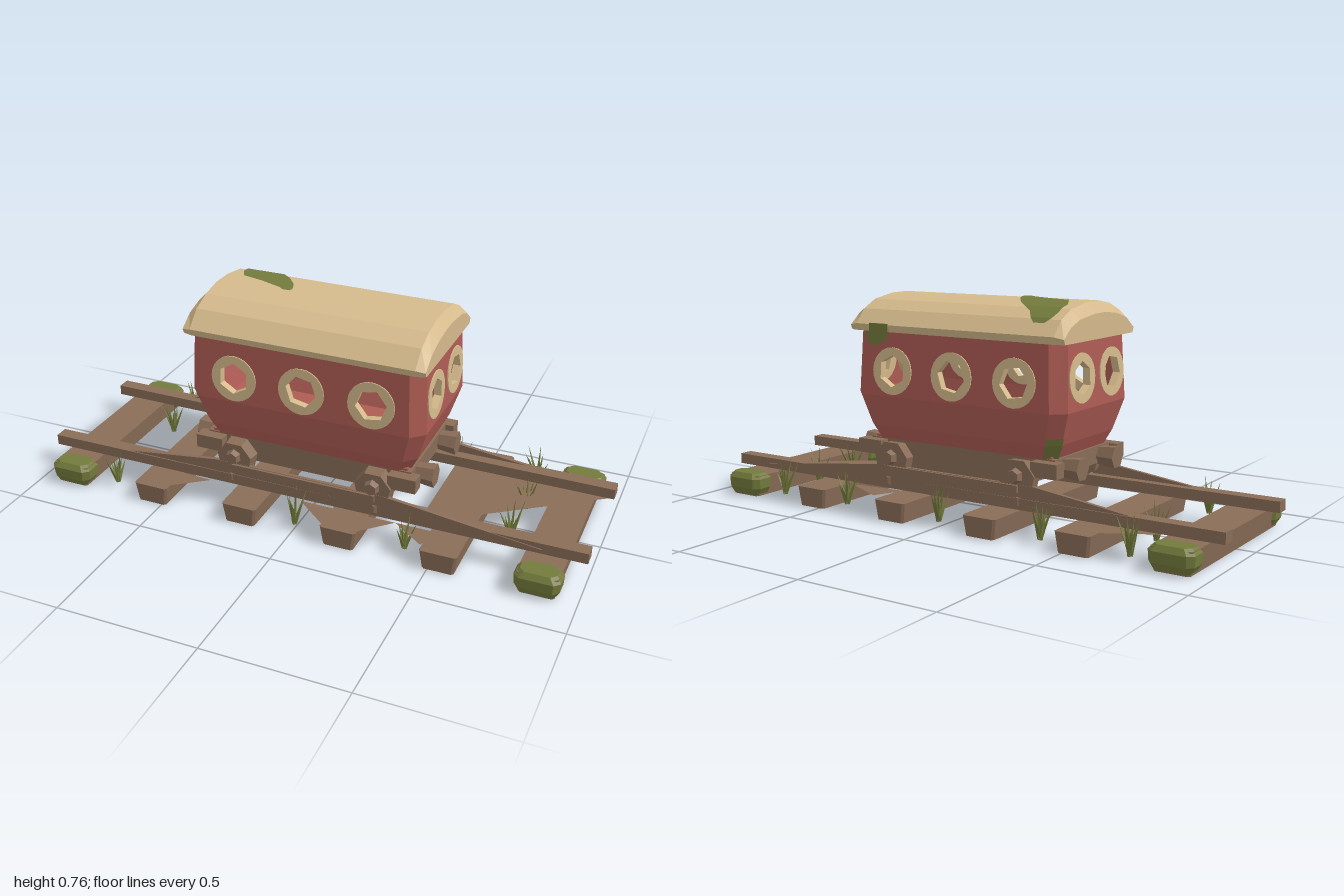
import * as THREE from 'three';

const mat = (name, color, side = THREE.DoubleSide) =>
  Object.assign(new THREE.MeshStandardMaterial({ color, flatShading: true, side }), { name });

// Skin between matching rings of points, with optional end caps and face filter
function loft(rings, caps = true, keep = () => true) {
  const out = [], n = rings[0].length;
  const tri = (...pts) => pts.forEach(p => out.push(...p));
  for (let r = 0; r < rings.length - 1; r++) {
    const a = rings[r], b = rings[r + 1];
    for (let i = 0; i < n; i++) {
      if (!keep(i)) continue;
      const j = (i + 1) % n;
      tri(a[i], a[j], b[j]);
      tri(a[i], b[j], b[i]);
    }
  }
  if (caps) {
    const a = rings[0], b = rings[rings.length - 1];
    for (let i = 1; i < n - 1; i++) {
      tri(a[0], a[i + 1], a[i]);
      tri(b[0], b[i], b[i + 1]);
    }
  }
  return fromPoints(out);
}

function fromPoints(flat) {
  const g = new THREE.BufferGeometry();
  g.setAttribute('position', new THREE.Float32BufferAttribute(flat, 3));
  g.computeVertexNormals();
  return g;
}

// Rectangle with cut corners at height y
function octagon(y, hx, hz, c) {
  const a = hx - c, b = hz - c;
  return [[-a, hz], [a, hz], [hx, b], [hx, -b], [a, -hz], [-a, -hz], [-hx, -b], [-hx, b]]
    .map(([x, z]) => [x, y, z]);
}

function polygon(cx, cy, r, n, turn = 0) {
  return Array.from({ length: n }, (_, i) => {
    const t = turn + i / n * Math.PI * 2;
    return new THREE.Vector2(cx + r * Math.cos(t), cy + r * Math.sin(t));
  });
}

const shapeOf = pts => new THREE.Shape(pts.map(p => new THREE.Vector2(...p)));

export function createModel() {
  const red = mat('carriage red', 0xae5c54), tan = mat('cream trim', 0xd5ba8c);
  const wood = mat('weathered brown', 0x8a6d58), moss = mat('moss green', 0x737b3c);
  const model = new THREE.Group();
  const add = (name, geometry, material, x = 0, y = 0, z = 0) => {
    const m = new THREE.Mesh(geometry, material);
    m.name = name;
    m.position.set(x, y, z);
    model.add(m);
    return m;
  };
  const box = (name, w, h, d, x, y, z, material = wood) =>
    add(name, new THREE.BoxGeometry(w, h, d), material, x, y, z);

  let seed = 7;
  const rand = () => (seed = (seed * 16807) % 2147483647) / 2147483647;

  // Carriage body: tapered lower shell, cut corners and four window walls
  const y0 = 0.41, y1 = 0.64, cut = 0.045;
  const low = octagon(y0, 0.43, 0.238, cut), high = octagon(y1, 0.42, 0.228, cut);
  const lower = [octagon(0.25, 0.37, 0.19, 0.035), octagon(0.3, 0.395, 0.212, 0.04), low];
  const shell = loft(lower, false);
  add('lowerBody', shell, red);
  add('bodyFloor', new THREE.BoxGeometry(0.73, 0.01, 0.37), red, 0, 0.255, 0);
  add('bodyCorners', loft([low, high], false, i => i % 2 === 1), red);

  // Push a flat panel out to the sloping wall, then turn it to its side
  const fitToWall = (g, wall) => {
    const p = g.attributes.position;
    for (let i = 0; i < p.count; i++) {
      p.setZ(i, p.getZ(i) + wall.dist - 0.01 * (p.getY(i) - y0) / (y1 - y0));
    }
    g.rotateY(wall.turn);
    g.computeVertexNormals();
    return g;
  };
  const sideWall = { dist: 0.238, half: 0.385, windows: [-0.25, 0, 0.25], y: 0.5 };
  const endWall = { dist: 0.43, half: 0.193, windows: [-0.1, 0.1], y: 0.515 };
  const walls = [
    { name: 'front', turn: 0, ...sideWall }, { name: 'back', turn: Math.PI, ...sideWall },
    { name: 'leftEnd', turn: Math.PI / 2, ...endWall }, { name: 'rightEnd', turn: -Math.PI / 2, ...endWall },
  ];
  for (const w of walls) {
    const panel = shapeOf([[-w.half, y0], [w.half, y0], [w.half - 0.01, y1], [0.01 - w.half, y1]]);
    w.windows.forEach((u, i) => {
      panel.holes.push(new THREE.Path(polygon(u, w.y, 0.07, 12)));
      const ring = new THREE.Shape(polygon(u, w.y, 0.083, 24));
      ring.holes.push(new THREE.Path(polygon(u, w.y, 0.056, 6, 0.5 + i * 0.35)));
      const g = new THREE.ExtrudeGeometry(ring, { depth: 0.027, bevelEnabled: false });
      add(w.name + 'WindowFrame', fitToWall(g.translate(0, 0, -0.023), w), tan);
    });
    add(w.name + 'Wall', fitToWall(new THREE.ShapeGeometry(panel), w), red);
  }

  // Arched roof with softened ends
  const arch = [[-0.238, 0.635], [-0.247, 0.66], [-0.2, 0.71], [-0.14, 0.74], [-0.04, 0.756],
    [0.04, 0.757], [0.12, 0.743], [0.19, 0.715], [0.247, 0.66], [0.238, 0.635]];
  const roofRing = (x, tall, wide) => arch.map(([z, y]) => [x, 0.635 + (y - 0.635) * tall, z * wide]);
  add('roof', loft([roofRing(-0.437, 0.7, 0.96), roofRing(-0.405, 1, 1),
    roofRing(0.4, 0.98, 1), roofRing(0.432, 0.7, 0.96)]), tan);

  // Moss patches on the roof and body
  const roofY = z => {
    const i = Math.max(1, arch.findIndex((p, k) => k > 1 && p[0] >= z));
    const [za, ya] = arch[i - 1], [zb, yb] = arch[i];
    return ya + (yb - ya) * (z - za) / (zb - za) + 0.005;
  };
  const patch = [[-0.215, -0.35, -0.31], [-0.2, -0.37, -0.29], [-0.17, -0.375, -0.27], [-0.14, -0.375, -0.23],
    [-0.1, -0.37, -0.19], [-0.04, -0.34, -0.15], [-0.02, -0.26, -0.14], [0.01, -0.18, -0.13], [0.025, -0.16, -0.135]];
  const strip = [];
  for (let i = 0; i < patch.length - 1; i++) {
    const [za, a0, a1] = patch[i], [zb, b0, b1] = patch[i + 1];
    const ya = roofY(za), yb = roofY(zb);
    strip.push(a0, ya, za, b0, yb, zb, b1, yb, zb, a0, ya, za, b1, yb, zb, a1, ya, za);
  }
  add('roofMoss', fromPoints(strip), moss);
  box('roofEdgeMoss', 0.08, 0.028, 0.008, 0.3, 0.65, -0.244, moss);
  const spot = shapeOf([[-0.37, 0.635], [-0.36, 0.6], [-0.33, 0.582], [-0.3, 0.595], [-0.27, 0.61], [-0.27, 0.635]]);
  add('wallMoss', fitToWall(new THREE.ShapeGeometry(spot).translate(0, 0, 0.006), walls[1]), moss);
  add('cornerMoss', loft([octagon(0.249, 0.375, 0.195, 0.037), octagon(0.3, 0.4, 0.217, 0.042),
    octagon(0.325, 0.408, 0.223, 0.042)], false, i => i === 5), moss);

  // Undercarriage: frame, buffers, axles, wheels and rods
  box('frame', 0.76, 0.06, 0.38, 0, 0.222, 0);
  box('lowerFrame', 0.5, 0.05, 0.32, 0, 0.17, 0);
  for (const sx of [-1, 1]) {
    for (const sz of [-1, 1]) {
      const buffer = new THREE.CylinderGeometry(0.042, 0.034, 0.07, 6).rotateZ(-sx * Math.PI / 2);
      add('buffer', buffer, wood, sx * 0.41, 0.217, sz * 0.12);
      const wheel = new THREE.CylinderGeometry(0.066, 0.072, 0.045, 7).rotateX(Math.PI / 2);
      add('wheel', wheel, wood, sx * 0.26, 0.182, sz * 0.215);
      const hub = new THREE.CylinderGeometry(0.022, 0.03, 0.03, 6).rotateX(sz * Math.PI / 2);
      add('wheelHub', hub, wood, sx * 0.26, 0.195, sz * 0.245);
      box('axleBox', 0.1, 0.05, 0.05, sx * 0.36, 0.222, sz * 0.205);
      add('railShoe', new THREE.DodecahedronGeometry(0.032), wood, sx * 0.27, 0.11, sz * 0.215);
    }
    add('axle', new THREE.CylinderGeometry(0.025, 0.025, 0.42, 6).rotateX(Math.PI / 2), wood, sx * 0.26, 0.18, 0);
  }
  for (const sz of [-1, 1]) {
    box('connectingRod', 0.54, 0.025, 0.02, 0, 0.152, sz * 0.238);

    // Rail with a raised bracing plate along the middle
    box('rail', 2, 0.038, 0.05, 0, 0.102, sz * 0.215).rotation.y = sz * 0.006;
    const brace = shapeOf([[-0.85, 0.1], [0.85, 0.1], [0.3, 0.166], [-0.33, 0.166]]);
    add('railBrace', new THREE.ExtrudeGeometry(brace, { depth: 0.014, bevelEnabled: false }),
      wood, 0, 0, sz * 0.232 - 0.007);
  }

  // Sleepers
  [-0.875, -0.54, -0.19, 0.18, 0.535, 0.865].forEach((x, i) => {
    const end = i === 0 || i === 5;
    const h = end ? 0.077 : 0.07, w = end ? 0.07 : 0.065;
    add('sleeper', loft([octagon(0, w - 0.01, 0.35, 0.008), octagon(h, w, 0.355, 0.008)]), wood);
    model.children[model.children.length - 1].position.x = x;
  });

  // Loose boards between and beside the rails
  const boards = [
    [0.42, 0.22, 0.42, -0.2, 1, -0.2], [-0.8, -0.24, -0.6, -0.35, -0.5, -0.24], [0.25, -0.35, 0.42, -0.26, 0.2, -0.24],
    [-0.48, 0.35, -0.35, 0.25, -0.55, 0.24], [0.12, 0.35, 0, 0.25, 0.2, 0.25],
    [0.25, 0.35, 0.35, 0.25, 0.2, 0.25], [0.47, 0.34, 0.35, 0.25, 0.5, 0.25],
  ];
  for (const [ax, az, bx, bz, cx, cz] of boards) {
    add('brokenBoard', fromPoints([ax, 0.082, az, cx, 0.082, cz, bx, 0.082, bz]), wood);
  }

  // Mossy ends of the outer sleepers
  for (const x of [-0.875, 0.865]) {
    for (const sz of [-1, 1]) {
      add('sleeperMoss', loft([octagon(0.006, 0.06, 0.035, 0.012), octagon(0.03, 0.075, 0.046, 0.02),
        octagon(0.066, 0.077, 0.048, 0.02), octagon(0.085, 0.062, 0.034, 0.02)]), moss, x, 0, sz * 0.322);
    }
  }

  // Grass tufts made of leaning blades
  const tufts = [[-0.71, -0.11], [-0.72, -0.31], [-0.71, 0.3], [-0.4, -0.31], [0, -0.31], [0, 0.3],
    [0.4, 0.29], [0.41, -0.3], [0.7, -0.31], [0.71, 0.085], [0.71, -0.11]];
  for (const [x, z] of tufts) {
    const tuft = new THREE.Group();
    tuft.name = 'grassTuft';
    tuft.position.set(x, 0.02, z);
    for (let i = 0; i < 9; i++) {
      const h = 0.08 + rand() * 0.06;
      const blade = new THREE.Mesh(new THREE.ConeGeometry(0.009, h, 3).translate(0, h / 2, 0), moss);
      blade.name = 'grassBlade';
      blade.rotation.set(0, i * 2.4, i === 0 ? 0 : 0.12 + rand() * 0.35, 'YXZ');
      tuft.add(blade);
    }
    model.add(tuft);
  }

  return model;
}
